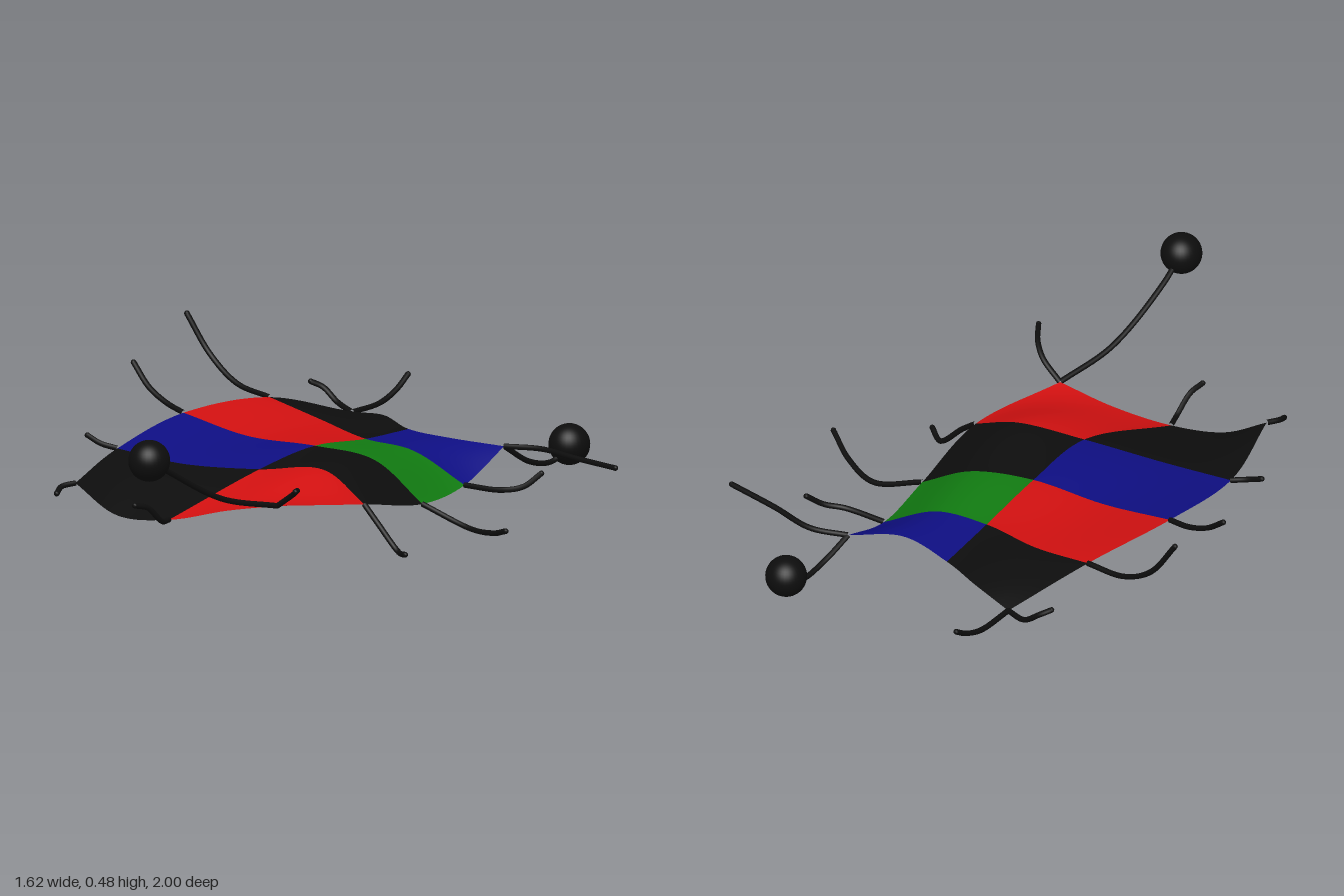
import * as THREE from 'three';
import { ParametricGeometry } from 'three/addons/geometries/ParametricGeometry.js';

const BLACK = 0x0d0d0d, RED = 0xd01010, BLUE = 0x0e0e82, GREEN = 0x117a11;
const V = (p) => new THREE.Vector3(...p);
const spline = (points) => new THREE.CatmullRomCurve3(points);

// Cross-sections of the cloth, back to front, each running from -x to +x
const rows = [
  [[-0.345, 0.185, -0.69], [-0.19, 0.205, -0.665], [-0.035, 0.195, -0.61], [0.16, 0.2, -0.593], [0.31, 0.183, -0.675]],
  [[-0.45, 0.265, -0.42], [-0.235, 0.23, -0.415], [-0.015, 0.207, -0.385], [0.165, 0.193, -0.41], [0.34, 0.102, -0.455]],
  [[-0.505, 0.268, -0.075], [-0.25, 0.23, -0.095], [0, 0.233, -0.13], [0.2, 0.21, -0.185], [0.39, 0.095, -0.2]],
  [[-0.475, 0.22, 0.27], [-0.235, 0.203, 0.235], [0.03, 0.215, 0.165], [0.23, 0.233, 0.09], [0.41, 0.15, 0.095]],
  [[-0.34, 0.193, 0.62], [-0.19, 0.107, 0.59], [-0.035, 0.105, 0.52], [0.135, 0.147, 0.44], [0.315, 0.185, 0.4]],
].map((row) => spline(row.map(V)));

// Colours of the patches, back to front, for the -x and +x columns
const patchColors = [[BLACK, BLUE], [RED, GREEN], [BLUE, BLACK], [BLACK, RED]];

const cords = {
  backRightCord: [[-0.345, 0.185, -0.69], [-0.35, 0.19, -0.83], [-0.352, 0.22, -0.91], [-0.355, 0.257, -0.965]],
  backRightSideCord: [[-0.345, 0.185, -0.69], [-0.43, 0.2, -0.715], [-0.485, 0.24, -0.71], [-0.515, 0.258, -0.685]],
  rightCord1: [[-0.45, 0.265, -0.42], [-0.6, 0.285, -0.43], [-0.72, 0.36, -0.438], [-0.8, 0.48, -0.42]],
  rightCord2: [[-0.505, 0.268, -0.075], [-0.59, 0.285, -0.088], [-0.67, 0.32, -0.097], [-0.75, 0.385, -0.113]],
  rightCord3: [[-0.475, 0.22, 0.27], [-0.525, 0.232, 0.293], [-0.575, 0.252, 0.3]],
  frontRightCord: [[-0.34, 0.193, 0.62], [-0.357, 0.187, 0.665], [-0.347, 0.172, 0.7]],
  frontMiddleCord: [[-0.035, 0.105, 0.52], [-0.02, 0.112, 0.57], [-0.025, 0.165, 0.63], [-0.035, 0.18, 0.68]],
  frontLeftCord: [[0.315, 0.185, 0.4], [0.39, 0.235, 0.41], [0.44, 0.262, 0.445], [0.485, 0.277, 0.505]],
  frontBallCord: [[0.315, 0.185, 0.4], [0.265, 0.235, 0.6], [0.242, 0.355, 0.82], [0.25, 0.417, 0.93]],
  leftCord1: [[0.41, 0.15, 0.095], [0.47, 0.1, 0.1], [0.555, 0.02, 0.097], [0.615, 0.027, 0.132]],
  leftCord2: [[0.39, 0.095, -0.2], [0.56, 0.038, -0.232], [0.69, 0.05, -0.195], [0.797, 0.084, -0.138]],
  leftCord3: [[0.34, 0.102, -0.455], [0.48, 0.105, -0.475], [0.535, 0.118, -0.515], [0.57, 0.158, -0.56]],
  backLeftCord: [[0.31, 0.183, -0.675], [0.425, 0.185, -0.72], [0.585, 0.185, -0.7], [0.77, 0.185, -0.685]],
  backBallCord: [[0.31, 0.183, -0.675], [0.335, 0.12, -0.77], [0.342, 0.106, -0.87], [0.352, 0.15, -0.933]],
};

const balls = { frontBall: [0.252, 0.417, 0.933], backBall: [0.352, 0.15, -0.935] };

function clothPoint(s, t) {
  return spline(rows.map((row) => row.getPoint(s))).getPoint(t);
}

function mesh(name, geometry, color, side = THREE.FrontSide) {
  const m = new THREE.Mesh(geometry, new THREE.MeshStandardMaterial({ color, side }));
  m.name = name;
  return m;
}

export function createModel() {
  const model = new THREE.Group();
  model.name = 'patchworkCloth';

  // Cloth: two columns of four patches on one wavy surface
  const cloth = new THREE.Group();
  cloth.name = 'cloth';
  patchColors.forEach((pair, r) => pair.forEach((color, c) => {
    const patch = new ParametricGeometry(
      (u, v, target) => target.copy(clothPoint((c + v) / 2, (r + u) / 4)), 16, 20);
    cloth.add(mesh(`patch${r + 1}${c ? 'Left' : 'Right'}`, patch, color, THREE.DoubleSide));
  }));
  model.add(cloth);

  // Cords along the rim, each with a rounded tip
  const radius = 0.009;
  for (const [name, path] of Object.entries(cords)) {
    const cord = new THREE.Group();
    cord.name = name;
    cord.add(mesh('strand', new THREE.TubeGeometry(spline(path.map(V)), 32, radius, 8), BLACK));
    const tip = mesh('tip', new THREE.SphereGeometry(radius, 8, 6), BLACK);
    tip.position.copy(V(path.at(-1)));
    cord.add(tip);
    model.add(cord);
  }

  // Balls on the ends of two cords
  for (const [name, center] of Object.entries(balls)) {
    const ball = mesh(name, new THREE.SphereGeometry(0.066, 32, 24), BLACK);
    ball.position.copy(V(center));
    model.add(ball);
  }
  return model;
}
